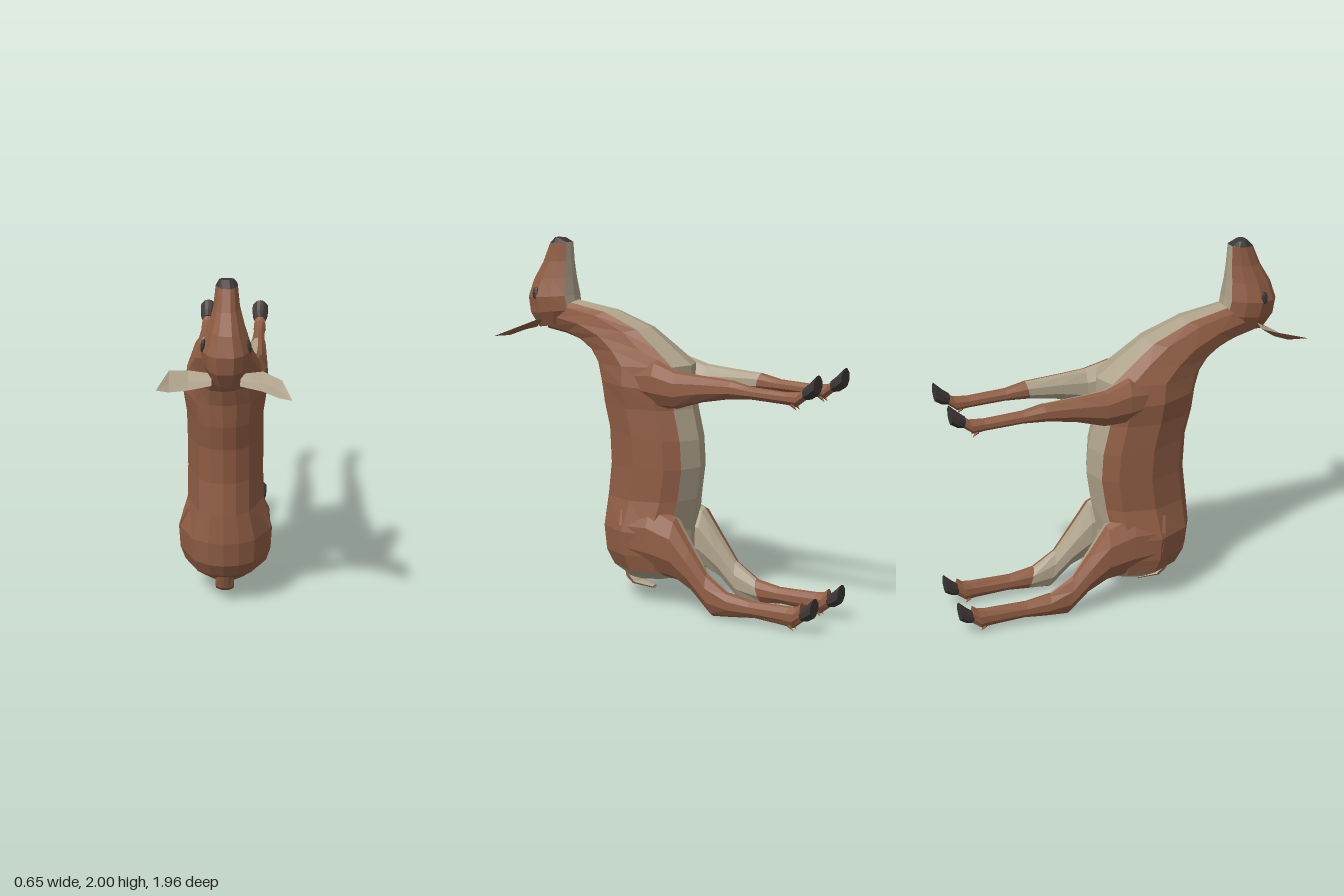
import * as THREE from 'three';

const brown = new THREE.MeshStandardMaterial({ color: 0x8f5d44 });
const cream = new THREE.MeshStandardMaterial({ color: 0xada189 });
const dark = new THREE.MeshStandardMaterial({ color: 0x3d3736 });
brown.name = 'brown coat';
cream.name = 'cream coat';
dark.name = 'dark horn';
const MATS = [brown, cream, dark];
const MID = -0.037; // the trunk sits slightly off centre

// Half outlines of cross-sections: [way from start to end point, share of half width]
const TRUNK = [[0, 0], [0.08, 0.62], [0.22, 0.9], [0.55, 1], [0.88, 0.65], [0.97, 0.33], [1, 0]];
const HEAD = [[0, 0], [0.04, 0.6], [0.3, 0.92], [0.6, 1], [0.88, 0.7], [1, 0.35], [1, 0]];
const LEG = [[0, 0], [0.08, 0.5], [0.35, 1], [0.7, 0.95], [0.95, 0.45], [1, 0]];

// Flat-shaded mesh from triangles sorted by material; turned outward when closed
function facets(name, tris, closed = true) {
  const a = new THREE.Vector3();
  let volume = 0;
  for (const { p } of tris) volume += a.crossVectors(p[0], p[1]).dot(p[2]);
  const points = [], geo = new THREE.BufferGeometry();
  MATS.forEach((m, index) => {
    const start = points.length;
    for (const { p, mat } of tris) {
      if (mat === index) points.push(...(closed && volume < 0 ? [p[0], p[2], p[1]] : p));
    }
    if (points.length > start) geo.addGroup(start, points.length - start, index);
  });
  geo.setFromPoints(points);
  geo.computeVertexNormals();
  const mesh = new THREE.Mesh(geo, MATS);
  mesh.name = name;
  return mesh;
}

// Loft through sections [startZ, startY, endZ, endY, halfWidth, centreX]
// paint(section, strip, half) picks the material; half 0 is the side towards +x * side
function loft(name, half, sections, paint, side = 1) {
  const n = half.length - 1;
  const outline = [...half, ...half.slice(1, n).reverse().map(([u, w]) => [u, -w])];
  const rings = sections.map(([z0, y0, z1, y1, hw, cx]) => outline.map(([u, w]) =>
    new THREE.Vector3(cx + side * w * hw, y0 + (y1 - y0) * u, z0 + (z1 - z0) * u)));
  const tris = [], count = outline.length;
  for (let i = 0; i < rings.length - 1; i++) {
    for (let j = 0; j < count; j++) {
      const k = (j + 1) % count, r = rings[i], s = rings[i + 1];
      const mat = paint(i, j < n ? j : count - 1 - j, j < n ? 0 : 1);
      tris.push({ p: [r[j], r[k], s[k]], mat }, { p: [r[j], s[k], s[j]], mat });
    }
  }
  [0, rings.length - 1].forEach((i) => {
    const ring = rings[i], c = new THREE.Vector3();
    ring.forEach((v) => c.addScaledVector(v, 1 / count));
    const mat = paint(i, 0, 1);
    for (let j = 0; j < count; j++) {
      const k = (j + 1) % count;
      tris.push({ p: i ? [c, ring[j], ring[k]] : [c, ring[k], ring[j]], mat });
    }
  });
  return facets(name, tris);
}

// Leaf-shaped ear: cream hollow above, brown shell below
function ear(name, rows, tip) {
  const v = ([x, y, z]) => new THREE.Vector3(...p3(x, y, z));
  const p3 = (x, y, z) => [x, y, z];
  const end = v(tip), tris = [];
  const lines = rows.map(([a, b]) => {
    const A = v(a), B = v(b), M = A.clone().lerp(B, 0.5);
    return [A, M.clone().add(new THREE.Vector3(0, -0.006, 0.002)), B,
      M.clone().add(new THREE.Vector3(0, -0.026, 0.01))];
  });
  lines.push([end, end, end, end]);
  for (let i = 0; i < lines.length - 1; i++) {
    for (let j = 0; j < 4; j++) {
      const k = (j + 1) % 4, r = lines[i], s = lines[i + 1], mat = j < 2 ? 1 : 0;
      tris.push({ p: [r[j], r[k], s[k]], mat });
      if (i < lines.length - 2) tris.push({ p: [r[j], s[k], s[j]], mat });
      else tris[tris.length - 1].p = [r[j], r[k], end];
    }
  }
  const [A, M, B, S] = lines[0];
  tris.push({ p: [A, B, M], mat: 0 }, { p: [A, S, B], mat: 0 });
  return facets(name, tris);
}

export function createModel() {
  const model = new THREE.Group();
  model.name = 'deer';

  // Trunk and neck, from rump to throat; belly point first, back point second
  model.add(loft('body', TRUNK, [
    [-0.1, 0.16, 0.24, 0.12, 0.14, MID],
    [-0.13, 0.2, 0.34, 0.2, 0.225, MID],
    [-0.13, 0.3, 0.385, 0.28, 0.25, MID],
    [-0.13, 0.42, 0.4, 0.42, 0.257, MID],
    [-0.165, 0.6, 0.39, 0.58, 0.208, MID],
    [-0.19, 0.78, 0.37, 0.76, 0.205, MID],
    [-0.18, 0.93, 0.38, 0.96, 0.205, MID],
    [-0.14, 1.1, 0.415, 1.1, 0.205, MID],
    [-0.13, 1.21, 0.43, 1.23, 0.222, MID],
    [-0.13, 1.335, 0.46, 1.32, 0.2, MID],
    [0, 1.43, 0.51, 1.385, 0.17, MID],
    [0.13, 1.525, 0.59, 1.435, 0.145, -0.035],
    [0.36, 1.615, 0.68, 1.46, 0.115, -0.025],
    [0.6, 1.655, 0.8, 1.48, 0.09, -0.01],
  ], (i, strip) => (strip < 1 || (i === 0 && strip < 4) ? 1 : 0)));

  // Tail, curled under the rump
  model.add(loft('tail', LEG, [
    [0.2, 0.17, 0.32, 0.19, 0.05, MID],
    [0.225, 0.115, 0.29, 0.1, 0.052, MID],
    [0.2, 0.085, 0.24, 0.062, 0.05, MID],
    [0.11, 0.066, 0.11, 0.048, 0.02, MID],
  ], (i, strip) => (strip < 2 ? 1 : 0)));

  // Head, muzzle pointing up
  model.add(loft('head', HEAD, [
    [0.66, 1.52, 0.85, 1.49, 0.075, 0],
    [0.61, 1.6, 0.9, 1.57, 0.115, 0],
    [0.625, 1.68, 0.912, 1.66, 0.126, 0],
    [0.635, 1.78, 0.88, 1.76, 0.092, 0],
    [0.64, 1.87, 0.82, 1.86, 0.066, 0],
    [0.645, 1.975, 0.775, 1.965, 0.054, 0],
  ], (i, strip) => (i > 0 && strip < 1 ? 1 : 0)));
  model.add(loft('nose', HEAD, [
    [0.647, 1.975, 0.775, 1.965, 0.054, 0],
    [0.685, 1.995, 0.74, 2, 0.038, 0],
  ], () => 2));

  // Ears
  model.add(ear('leftEar', [
    [[0.07, 1.54, 0.79], [0.07, 1.5, 0.86]],
    [[0.18, 1.545, 0.765], [0.18, 1.485, 0.885]],
    [[0.275, 1.515, 0.81], [0.26, 1.465, 0.92]],
  ], [0.325, 1.46, 0.94]));
  model.add(ear('rightEar', [
    [[-0.07, 1.54, 0.79], [-0.07, 1.5, 0.86]],
    [[-0.19, 1.545, 0.765], [-0.18, 1.49, 0.9]],
    [[-0.28, 1.555, 0.8], [-0.27, 1.495, 0.945]],
  ], [-0.33, 1.515, 0.975]));

  // Leg sections: [bottomZ, bottomY, topZ, topY, halfWidth, distance from middle]
  const front = [
    [0.12, 1.14, 0.14, 1.34, 0.07, 0.13],
    [-0.02, 1.11, 0, 1.37, 0.08, 0.14],
    [-0.14, 1.12, -0.14, 1.325, 0.062, 0.16],
    [-0.3, 1.17, -0.3, 1.312, 0.052, 0.16],
    [-0.46, 1.2, -0.48, 1.302, 0.045, 0.157],
    [-0.6, 1.21, -0.59, 1.278, 0.036, 0.155],
    [-0.8, 1.202, -0.8, 1.268, 0.031, 0.155],
    [-0.86, 1.195, -0.88, 1.275, 0.036, 0.155],
    [-0.915, 1.238, -0.905, 1.295, 0.03, 0.155],
  ];
  const hind = [
    [0.15, 0.22, 0.2, 0.55, 0.08, 0.17],
    [0, 0.185, 0.02, 0.575, 0.095, 0.15],
    [-0.14, 0.17, -0.13, 0.515, 0.085, 0.15],
    [-0.25, 0.12, -0.23, 0.37, 0.07, 0.155],
    [-0.37, 0.005, -0.33, 0.235, 0.052, 0.157],
    [-0.5, 0.02, -0.46, 0.15, 0.045, 0.157],
    [-0.62, 0.035, -0.6, 0.128, 0.038, 0.155],
    [-0.8, 0.026, -0.84, 0.136, 0.033, 0.155],
    [-0.86, 0.02, -0.88, 0.142, 0.037, 0.155],
    [-0.915, 0.064, -0.905, 0.165, 0.03, 0.155],
  ];
  const hoof = [[-0.915, 0, -0.9, 0.06, 0.032], [-0.945, 0.005, -0.935, 0.088, 0.042], [-0.98, 0.027, -0.98, 0.132, 0.047]];

  for (const side of [1, -1]) {
    const label = side > 0 ? 'Left' : 'Right';
    for (const [kind, rows, inner, hoofY] of [['front', front, 4, 1.237], ['hind', hind, 5, 0.066]]) {
      const sections = rows.map((r) => [...r.slice(0, 5), MID + side * r[5]]);
      // Cream on the inner face of the upper leg
      model.add(loft(`${kind}Leg${label}`, LEG, sections,
        (i, strip, half) => (half === 1 && i < inner && strip > 0 ? 1 : 0), side));
      const x = MID + side * 0.155;
      model.add(loft(`${kind}Hoof${label}`, LEG,
        hoof.map(([z0, y0, z1, y1, hw]) => [z0, y0 + hoofY, z1, y1 + hoofY, hw, x]), () => 2));
      // Pair of small dewclaws behind the ankle
      for (const dx of [-0.018, 0.018]) {
        const claw = new THREE.Mesh(new THREE.ConeGeometry(0.013, 0.04, 4).toNonIndexed(), brown);
        claw.geometry.computeVertexNormals();
        claw.name = `${kind}Dewclaw${label}`;
        claw.rotation.x = -2.4;
        claw.position.set(x + dx, hoofY - 0.042, -0.855);
        model.add(claw);
      }
    }

    // Eye
    const eye = new THREE.Mesh(new THREE.SphereGeometry(1, 8, 6).toNonIndexed(), dark);
    eye.geometry.computeVertexNormals();
    eye.name = `eye${label}`;
    eye.scale.set(0.012, 0.035, 0.022);
    eye.position.set(side * 0.112, 1.69, 0.81);
    eye.rotation.z = side * 0.15;
    model.add(eye);
  }
  return model;
}
